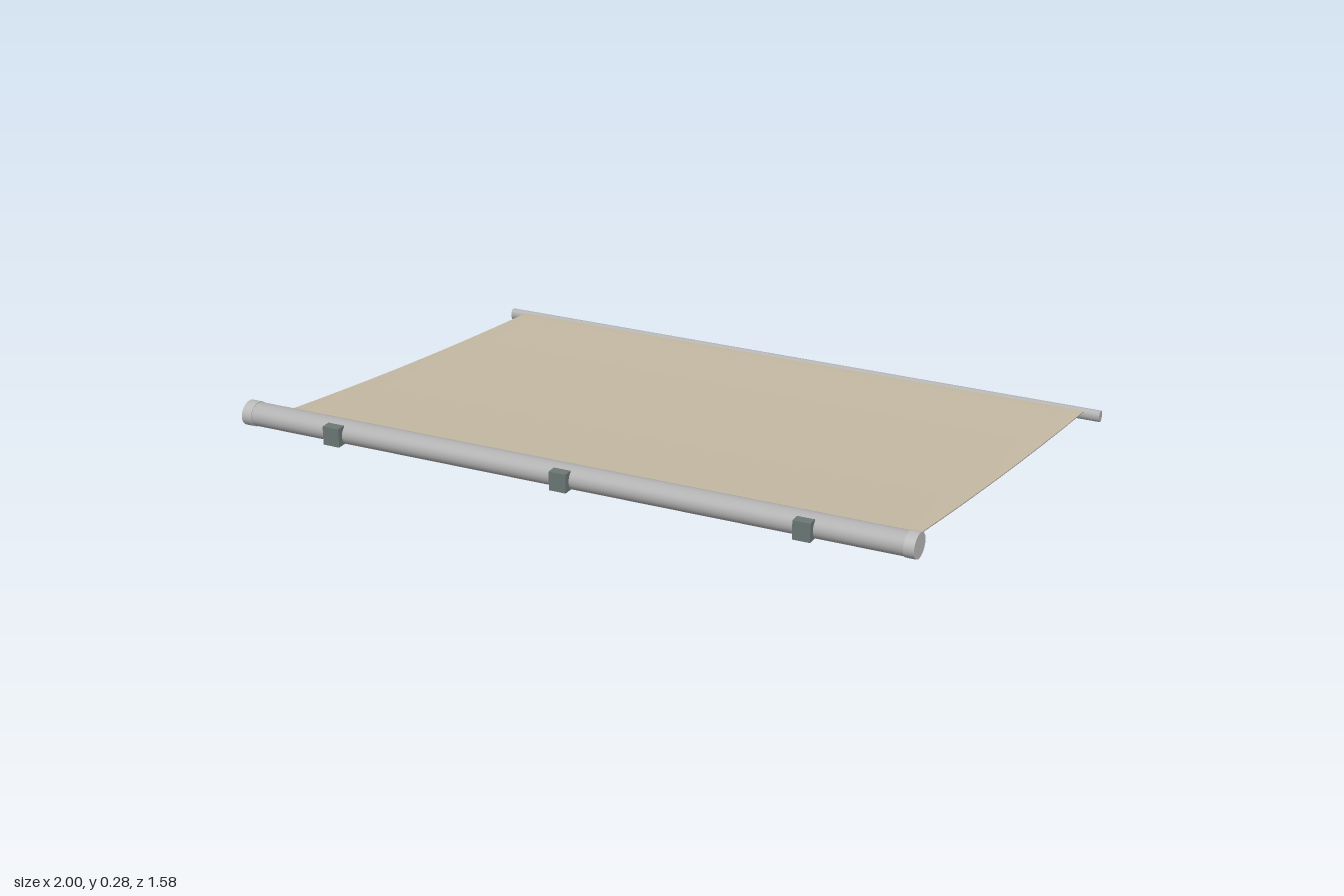
import * as THREE from 'three';
import { mergeVertices } from 'three/addons/utils/BufferGeometryUtils.js';

const mat = (name, color) => {
  const m = new THREE.MeshStandardMaterial({ color });
  m.name = name;
  return m;
};

export function createModel() {
  const group = new THREE.Group();
  const metal = mat('grey metal', 0xb2b2b2);
  const capMetal = mat('end cap grey', 0xbababa);
  const bracketGrey = mat('bracket grey', 0x6c7876);
  const cloth = mat('beige cloth', 0xc9bda6);

  const add = (name, geometry, material, x, y, z) => {
    const mesh = new THREE.Mesh(geometry, material);
    mesh.name = name;
    mesh.position.set(x, y, z);
    group.add(mesh);
    return mesh;
  };

  // Oval bar lying along x
  const bar = (length, ry, rz) =>
    new THREE.CylinderGeometry(1, 1, length, 32).rotateZ(Math.PI / 2).scale(1, ry, rz);

  // Roller housing with a cap at each end
  add('rollerHousing', bar(1.94, 0.033, 0.038), metal, 0, 0.242, 0.735);
  for (const s of [-1, 1]) {
    add(s > 0 ? 'leftEndCap' : 'rightEndCap', bar(0.03, 0.035, 0.04), capMetal, s * 0.985, 0.242, 0.735);
  }

  // Mounting brackets along the housing
  for (const x of [-0.7, 0, 0.7]) {
    add('mountingBracket', new THREE.BoxGeometry(0.05, 0.054, 0.03), bracketGrey, x, 0.243, 0.775);
  }

  // Outer rail carrying the far edge of the cloth
  add('outerRail', bar(2, 0.018, 0.0145), metal, 0, 0.018, -0.7755);

  // Thin sloping cloth with a slight sag and soft edges
  const z0 = -0.77, z1 = 0.71;
  let sheet = new THREE.BoxGeometry(1.9, 0.004, z1 - z0, 24, 1, 24);
  const p = sheet.attributes.position;
  for (let i = 0; i < p.count; i++) {
    const t = p.getZ(i) / (z1 - z0) + 0.5;
    p.setY(i, p.getY(i) + 0.028 + 0.198 * t - 0.044 * t * (1 - t));
  }
  sheet.deleteAttribute('uv');
  sheet.deleteAttribute('normal');
  sheet = mergeVertices(sheet);
  sheet.computeVertexNormals();
  add('awningCloth', sheet, cloth, 0, 0, (z0 + z1) / 2);

  return group;
}
